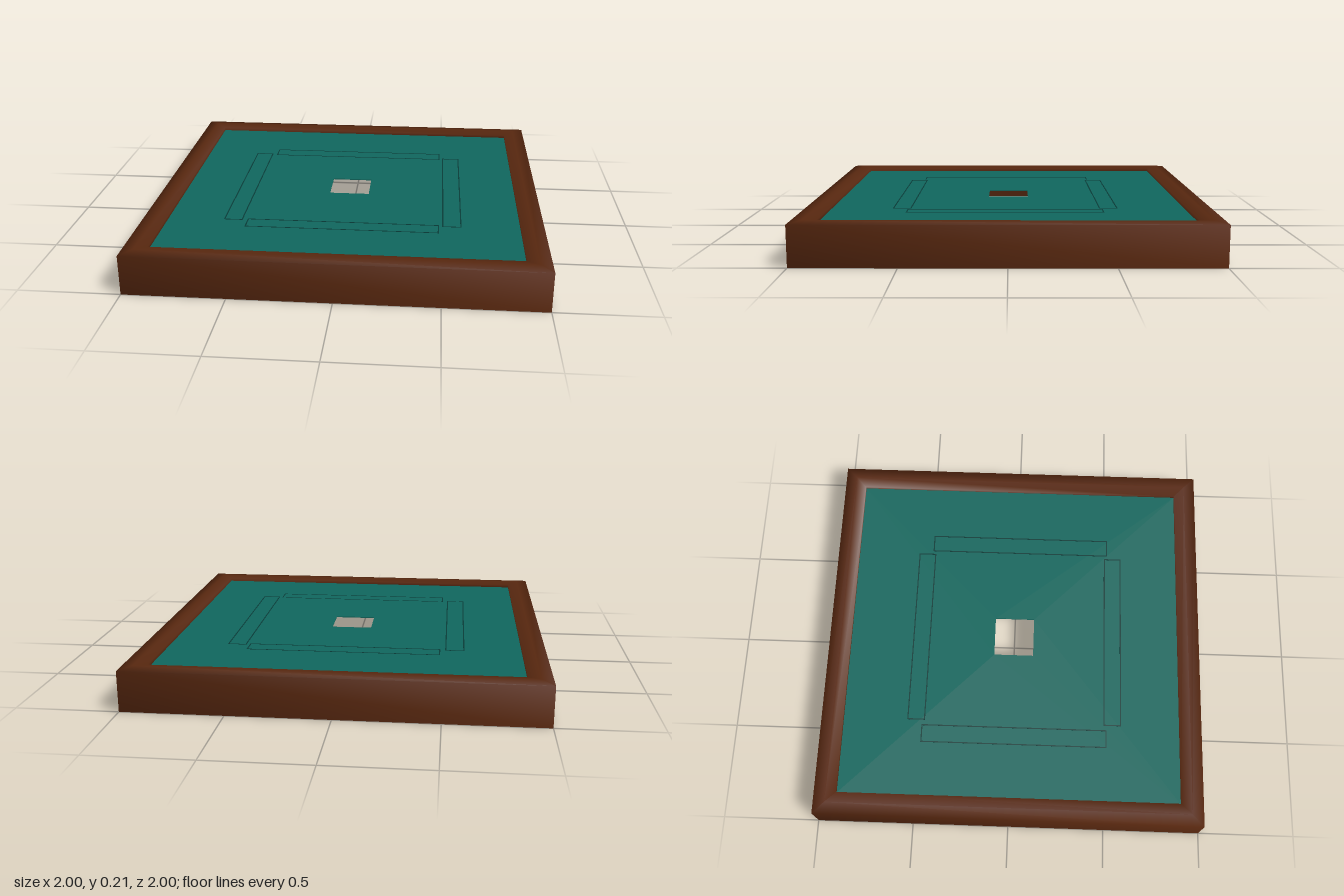
import * as THREE from 'three';

const material = (name, color, side = THREE.FrontSide) => {
  const m = new THREE.MeshStandardMaterial({ color, side });
  m.name = name;
  return m;
};

export function createModel() {
  const model = new THREE.Group();
  model.name = 'tableTop';
  const wood = material('dark wood', 0x57270f, THREE.DoubleSide);
  const felt = material('teal felt', 0x10665d);
  const seam = material('seam shadow', 0x083c38);

  const add = (parent, name, geometry, mat, x = 0, y = 0, z = 0) => {
    const mesh = new THREE.Mesh(geometry, mat);
    mesh.name = name;
    mesh.position.set(x, y, z);
    parent.add(mesh);
    return mesh;
  };

  // Hollow square frame, open underneath: a four-sided lathe of the rim profile
  const profile = [[1, 0], [1, 0.2], [0.94, 0.21], [0.885, 0.198], [0.885, 0.176]]
    .map(([r, y]) => new THREE.Vector2(r * Math.SQRT2, y));
  add(model, 'frame', new THREE.LatheGeometry(profile, 4, Math.PI / 4), wood);

  // Felt playing surface with a square opening in the middle
  const square = (Type, h) => new Type(
    [[-h, -h], [h, -h], [h, h], [-h, h]].map(([x, y]) => new THREE.Vector2(x, y)));
  const sheet = square(THREE.Shape, 0.885);
  sheet.holes.push(square(THREE.Path, 0.105));
  const sheetGeometry = new THREE.ExtrudeGeometry(sheet, { depth: 0.005, bevelEnabled: false });
  sheetGeometry.rotateX(-Math.PI / 2);
  add(model, 'feltSurface', sheetGeometry, felt, 0, 0.177, 0);

  // Outlines of the four long lids: dark seam above, small felt ridge below
  const lids = [
    ['backLid', 0, -0.503, 0.96, 0.088],
    ['frontLid', 0, 0.533, 0.96, 0.088],
    ['leftLid', 0.547, 0.015, 0.09, 0.97],
    ['rightLid', -0.555, 0.015, 0.09, 0.97],
  ];
  const t = 0.006;
  for (const [name, x, z, w, d] of lids) {
    const lid = new THREE.Group();
    lid.name = name;
    lid.position.set(x, 0, z);
    model.add(lid);
    for (const s of [-1, 1]) {
      for (const [part, mat, y, h] of [['Seam', seam, 0.1825, 0.001], ['Ridge', felt, 0.1755, 0.003]]) {
        add(lid, 'long' + part, new THREE.BoxGeometry(w + t, h, t), mat, 0, y, s * d / 2);
        add(lid, 'cross' + part, new THREE.BoxGeometry(t, h, d - t), mat, s * w / 2, y, 0);
      }
    }
  }
  return model;
}
